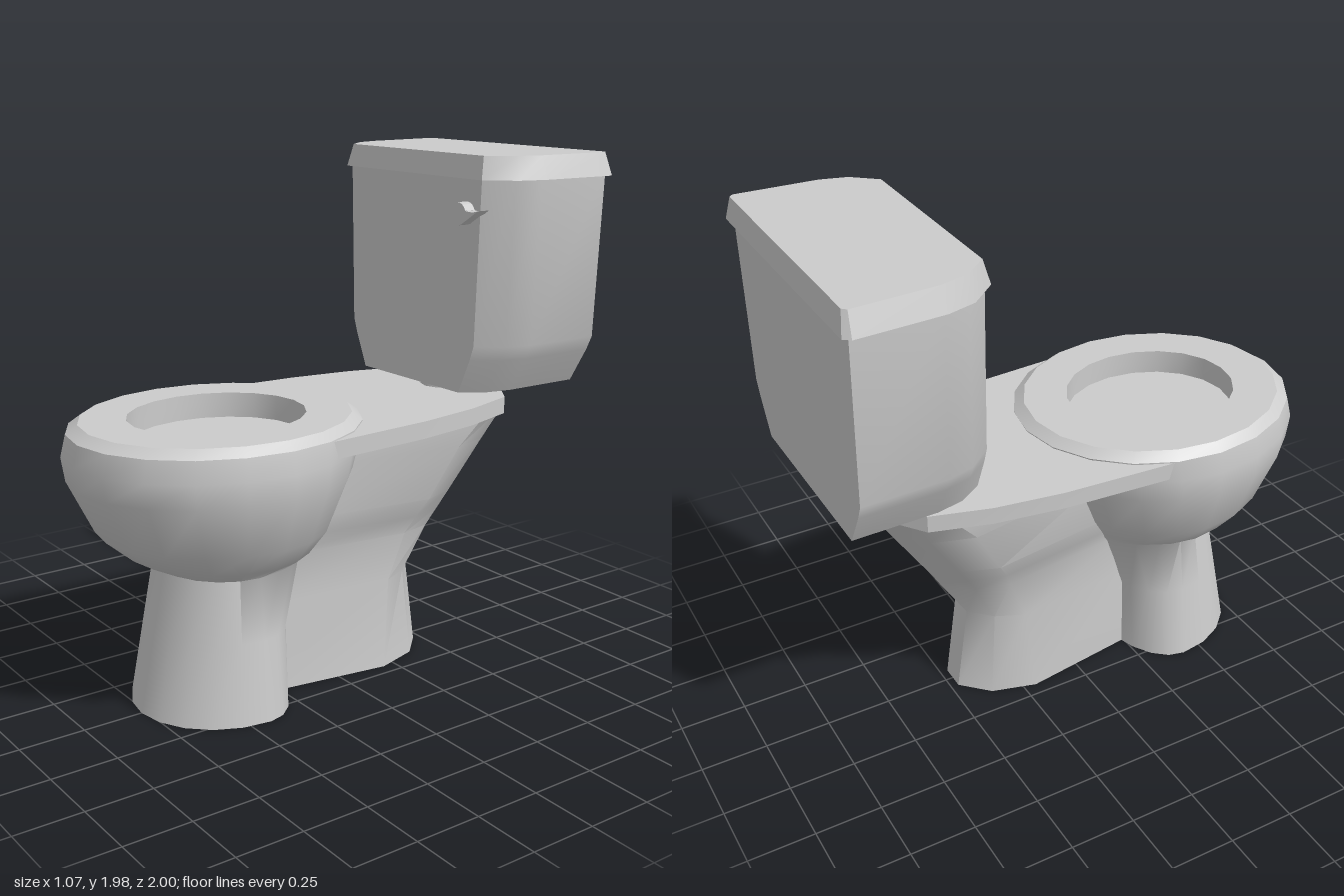
import * as THREE from 'three';
import { toCreasedNormals } from 'three/addons/utils/BufferGeometryUtils.js';

const material = new THREE.MeshStandardMaterial({ color: 0xcccccc });

// Closed ring from right-half points [x, z], listed front to back and mirrored to -x
function mirrorRing(y, half) {
  const other = half.filter(p => p[0] > 0).reverse().map(([x, z]) => [-x, z]);
  return [...half, ...other].map(([x, z]) => new THREE.Vector3(x, y, z));
}

// Egg-shaped ring, widest at z = 0.42
function eggRing([y, rx, zFront, zBack], n = 20, zc = 0.42) {
  return Array.from({ length: n }, (_, i) => {
    const a = (i / n) * Math.PI * 2, c = Math.cos(a);
    return new THREE.Vector3(rx * Math.sin(a), y, zc + c * (c > 0 ? zFront - zc : zc - zBack));
  });
}

// Skin through the rings, with optional flat ends
function loft(name, rings, crease, capBottom = true, capTop = true) {
  const pos = [];
  const tri = (...pts) => pts.forEach(p => pos.push(p.x, p.y, p.z));
  const n = rings[0].length;
  for (let i = 0; i < rings.length - 1; i++) {
    for (let j = 0; j < n; j++) {
      const k = (j + 1) % n, a = rings[i], b = rings[i + 1];
      tri(a[j], a[k], b[k]);
      tri(a[j], b[k], b[j]);
    }
  }
  const cap = (ring, up) => {
    const c = ring.reduce((s, p) => s.add(p), new THREE.Vector3()).divideScalar(n);
    for (let j = 0; j < n; j++) {
      const k = (j + 1) % n;
      up ? tri(c, ring[j], ring[k]) : tri(c, ring[k], ring[j]);
    }
  };
  if (capBottom) cap(rings[0], false);
  if (capTop) cap(rings[rings.length - 1], true);
  const g = new THREE.BufferGeometry();
  g.setAttribute('position', new THREE.Float32BufferAttribute(pos, 3));
  const mesh = new THREE.Mesh(toCreasedNormals(g, crease), material);
  mesh.name = name;
  return mesh;
}

export function createModel() {
  const group = new THREE.Group();
  group.name = 'toilet';

  // Pedestal and bowl: y, half width, front z, back z
  const bowl = [
    [0, 0.33, 0.77, 0.22], [0.3, 0.295, 0.71, 0.21], [0.53, 0.265, 0.665, 0.12],
    [0.59, 0.36, 0.78, 0.09], [0.68, 0.43, 0.885, 0.03], [0.88, 0.495, 0.985, -0.06],
    [0.97, 0.5, 1.0, -0.09], [1.05, 0.485, 0.98, -0.12],
  ];
  group.add(loft('bowl', bowl.map(r => eggRing(r)), 1.15, true, false));

  // Rim, opening and water surface
  const rim = [
    [1.05, 0.485, 0.98, -0.12], [1.08, 0.45, 0.935, -0.08],
    [1.08, 0.295, 0.76, 0.09], [0.985, 0.295, 0.76, 0.09],
  ];
  group.add(loft('rim', rim.map(r => eggRing(r)), 0.5, false, true));

  // Waisted neck and rear column, leaning back towards the tank
  const neck = [
    [0, [[0.12, 0.35], [0.2, -0.2], [0.15, -0.37], [0.05, -0.47]]],
    [0.35, [[0.12, 0.33], [0.18, -0.23], [0.13, -0.34], [0.05, -0.42]]],
    [0.53, [[0.12, 0.25], [0.19, -0.3], [0.16, -0.43], [0.06, -0.53]]],
    [0.6, [[0.15, 0.2], [0.22, -0.33], [0.18, -0.47], [0.07, -0.57]]],
    [0.67, [[0.17, 0.16], [0.25, -0.37], [0.2, -0.51], [0.08, -0.615]]],
    [0.87, [[0.19, 0.08], [0.29, -0.48], [0.24, -0.64], [0.11, -0.74]]],
    [0.985, [[0.2, 0.05], [0.32, -0.58], [0.27, -0.71], [0.14, -0.805]]],
  ];
  group.add(loft('neck', neck.map(([y, half]) => mirrorRing(y, half)), 0.6));

  // Deck between bowl and tank
  const deck = [[0, 0.03], [0.2, 0.06], [0.35, 0.2], [0.455, 0.26], [0.425, -0.2],
    [0.385, -0.46], [0.32, -0.68], [0.15, -0.805]];
  group.add(loft('deck', [0.98, 1.045].map(y => mirrorRing(y, deck)), 0.6));

  // Coupling under the tank
  const coupling = new THREE.Mesh(new THREE.CylinderGeometry(0.085, 0.085, 0.07, 10), material);
  coupling.name = 'tankCoupling';
  coupling.position.set(0, 1.065, -0.635);
  group.add(coupling);

  // Tank, tapering in width near the bottom
  const tank = [[0.385, -0.47], [0.465, -0.56], [0.495, -0.66], [0.505, -0.975]];
  const tankLevels = [[1.085, 0.745], [1.22, 0.9], [1.275, 0.95], [1.9, 1]];
  group.add(loft('tank', tankLevels.map(([y, s]) =>
    mirrorRing(y, tank.map(([x, z]) => [x * s, z]))), 0.7));

  // Tank lid with sloping edges
  const lid = [[0.4, -0.455], [0.49, -0.555], [0.52, -0.66], [0.535, -0.975], [0.515, -1]];
  const lidTop = [[0.385, -0.475], [0.462, -0.565], [0.49, -0.665], [0.505, -0.97], [0.49, -0.985]];
  group.add(loft('tankLid', [mirrorRing(1.89, lid), mirrorRing(1.975, lidTop)], 0.6));

  // Flush lever: round hub with a tapering tail
  const shape = new THREE.Shape();
  shape.absarc(0, 0, 0.042, 0.35, Math.PI * 2 - 0.8, false);
  shape.quadraticCurveTo(0.06, -0.012, 0.105, 0.018);
  shape.quadraticCurveTo(0.075, 0.008, 0.039, 0.014);
  const lever = new THREE.Mesh(
    new THREE.ExtrudeGeometry(shape, { depth: 0.055, bevelEnabled: false, curveSegments: 8 }), material);
  lever.name = 'flushLever';
  lever.position.set(0.31, 1.765, -0.48);
  group.add(lever);

  return group;
}
